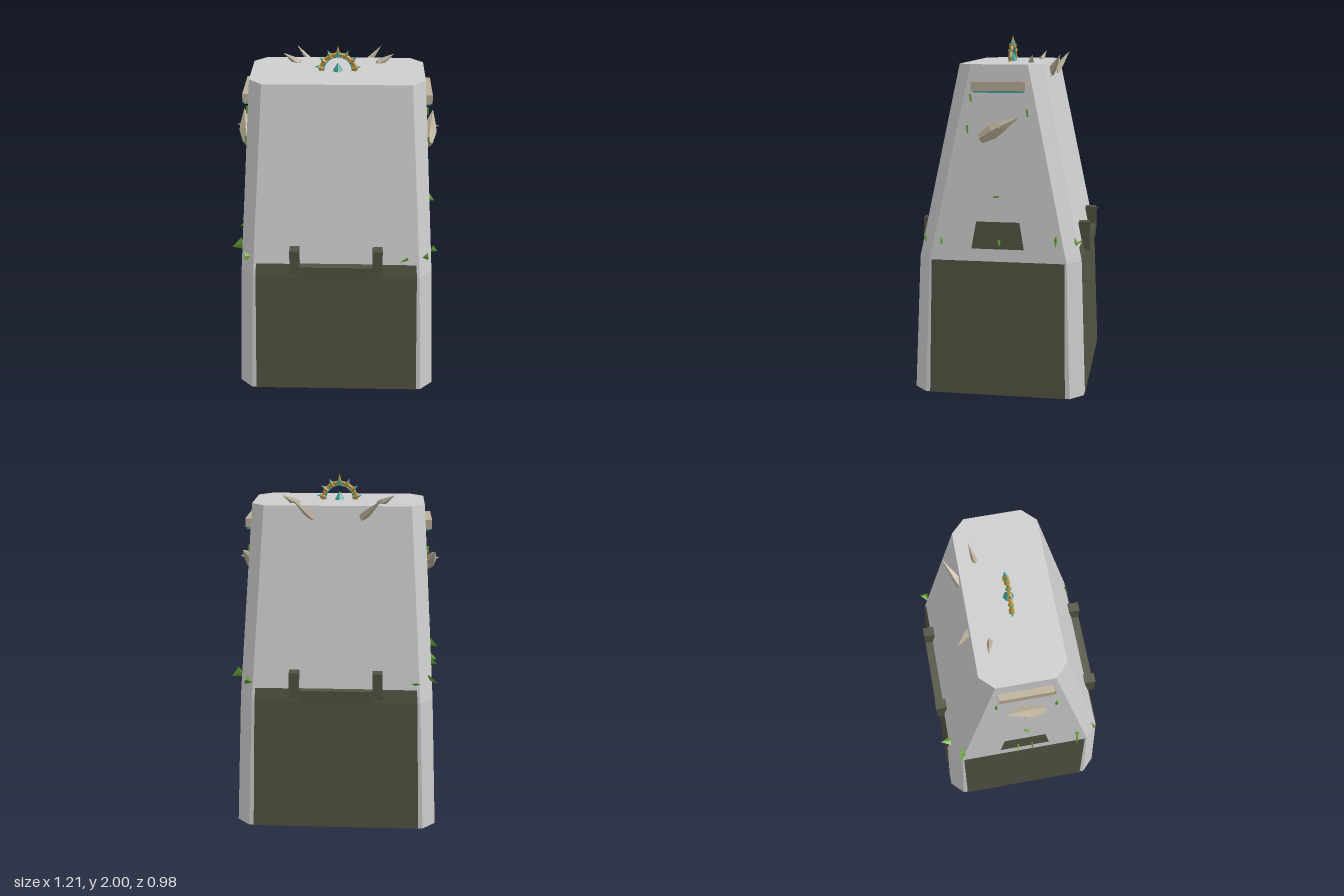
import * as THREE from 'three';

const mat = (name, color) => {
  const m = new THREE.MeshStandardMaterial({ color });
  m.name = name;
  return m;
};

// Body cross-sections: height, half width, half depth, chamfer
const SECTIONS = [[0, 0.583, 0.486, 0.074], [0.77, 0.551, 0.456, 0.072], [1.85, 0.488, 0.232, 0.074]];

// Half width and half depth of the body at height y
function halfSizes(y) {
  const i = y < 0.77 ? 0 : 1, a = SECTIONS[i], b = SECTIONS[i + 1];
  const t = (y - a[0]) / (b[0] - a[0]);
  return [a[1] + (b[1] - a[1]) * t, a[2] + (b[2] - a[2]) * t];
}

function facets(points) {
  const g = new THREE.BufferGeometry();
  g.setAttribute('position', new THREE.Float32BufferAttribute(points.flat(), 3));
  g.computeVertexNormals();
  return g;
}

function flat(g) {
  const f = g.index ? g.toNonIndexed() : g;
  f.computeVertexNormals();
  return f;
}

// Chamfered tower: octagons joined in loops and capped
function towerGeometry() {
  const rings = SECTIONS.map(([y, x, z, c]) => [
    [c - x, y, z], [x - c, y, z], [x, y, z - c], [x, y, c - z],
    [x - c, y, -z], [c - x, y, -z], [-x, y, c - z], [-x, y, z - c]]);
  const p = [];
  for (let i = 0; i < 8; i++) {
    const j = (i + 1) % 8;
    for (let k = 0; k < 2; k++) {
      const a = rings[k], b = rings[k + 1];
      p.push(a[i], a[j], b[j], a[i], b[j], b[i]);
    }
    p.push([0, 1.85, 0], rings[2][i], rings[2][j], [0, 0, 0], rings[0][j], rings[0][i]);
  }
  return facets(p);
}

// Thin plate lying on a wall; rows are [height, half width]
function plateGeometry(rows, axis) {
  const p = [];
  const point = ([y, w], s) => [s * w, y, halfSizes(y)[axis] + 0.004];
  for (let i = 0; i + 1 < rows.length; i++) {
    const a = rows[i], b = rows[i + 1];
    p.push(point(a, -1), point(a, 1), point(b, 1), point(a, -1), point(b, 1), point(b, -1));
  }
  return facets(p);
}

export function createModel() {
  const grey = mat('pale stone', 0xcdcdcd), olive = mat('dark olive', 0x525242);
  const bone = mat('bone', 0xb9ae97), green = mat('leaf green', 0x5f9c2f);
  const teal = mat('teal', 0x3fa39c), gold = mat('gold', 0xb8913a);
  const model = new THREE.Group();
  model.name = 'tower';

  const add = (name, geometry, material, x = 0, y = 0, z = 0, parent = model) => {
    const m = new THREE.Mesh(geometry, material);
    m.name = name;
    m.position.set(x, y, z);
    parent.add(m);
    return m;
  };
  const box = (name, material, size, pos) => add(name, new THREE.BoxGeometry(...size), material, ...pos);

  // Low-poly spike from base to tip; profile is [radius, fraction of length]
  const spike = (name, material, base, tip, profile, sides = 4, squash = 1) => {
    const a = new THREE.Vector3(...base), d = new THREE.Vector3(...tip).sub(a);
    const length = d.length();
    const pts = profile.map(([r, t]) => new THREE.Vector2(r, t * length));
    const m = add(name, flat(new THREE.LatheGeometry(pts, sides)), material, ...base);
    m.scale.z = squash;
    m.quaternion.setFromUnitVectors(new THREE.Vector3(0, 1, 0), d.normalize());
    return m;
  };

  add('towerBody', towerGeometry(), grey);

  // Dark lower cladding and side hatches
  for (const turn of [0, Math.PI]) {
    add('broadPanel', plateGeometry([[0, 0.483], [0.77, 0.463], [0.843, 0.459]], 1), olive).rotation.y = turn;
    const side = turn + Math.PI / 2;
    add('sidePanel', plateGeometry([[0, 0.386], [0.768, 0.373]], 0), olive).rotation.y = side;
    add('sideHatch', plateGeometry([[0.838, 0.147], [0.99, 0.121]], 0), olive).rotation.y = side;
  }

  // Brackets on the front and back
  for (const s of [-1, 1]) {
    box('bracketBar', olive, [0.42, 0.073, 0.047], [0, 0.807, s * 0.463]);
    for (const x of [-0.236, 0.236])
      box('bracketPost', olive, [0.056, 0.152, 0.064], [x, 0.872, s * 0.455]);
  }

  // Side beams with a teal strip, and horns
  const horn = [[0, 0], [0.024, 0.15], [0.02, 0.4], [0, 1]];
  for (const s of [-1, 1]) {
    box('sideBeam', bone, [0.04, 0.051, 0.296], [s * 0.511, 1.735, 0]);
    box('beamStrip', teal, [0.032, 0.01, 0.28], [s * 0.507, 1.704, 0]);
    spike('sideHorn', bone, [s * 0.515, 1.445, 0.1], [s * 0.555, 1.572, -0.12],
      [[0, 0], [0.03, 0.02], [0.043, 0.35], [0.032, 0.57], [0, 1]], 5);
    spike('sideThorn', bone, [s * 0.505, 1.505, -0.01], [s * 0.588, 1.515, -0.012], [[0.032, 0], [0.012, 0.5], [0, 1]]);
    spike('largeHorn', bone, [s * 0.12, 1.765, -0.225], [s * 0.25, 1.9, -0.31], horn);
    spike('smallHorn', bone, [s * 0.215, 1.835, -0.135], [s * 0.32, 1.9, -0.16], horn, 4, 0.7);
    spike('hornStub', bone, [s * 0.215, 1.765, -0.23], [s * 0.23, 1.775, -0.255], [[0.012, 0], [0, 1]]);

    // Small leaf scraps on the side walls
    for (const [y, z] of [[1.67, 0.155], [1.5, 0.172], [1.59, -0.158], [1.13, 0.01]]) {
      const x = s * (halfSizes(y)[0] + 0.004);
      const h = y < 1.2 ? 0.008 : 0.042;
      box('leafScrap', green, [0.018, h, y < 1.2 ? 0.03 : 0.008], [x, y, z]).rotation.x = 0.15;
    }
  }

  // Leaves sprouting around the shoulder: base, tip, half width
  const leaves = [
    [[-0.45, 0.865, -0.41], [-0.455, 0.9, -0.492], 0.036],
    [[-0.525, 0.89, -0.36], [-0.58, 0.87, -0.4], 0.036],
    [[-0.545, 0.885, -0.04], [-0.593, 0.87, -0.052], 0.022],
    [[-0.545, 0.885, 0.04], [-0.59, 0.87, 0.044], 0.026],
    [[-0.54, 0.905, 0.32], [-0.608, 0.87, 0.303], 0.037],
    [[-0.525, 0.88, 0.43], [-0.488, 0.88, 0.416], 0.026],
    [[0.51, 0.885, -0.43], [0.475, 0.87, -0.425], 0.028],
    [[0.5, 0.87, -0.43], [0.505, 0.9, -0.47], 0.026],
    [[0.55, 0.9, -0.325], [0.607, 0.87, -0.328], 0.034],
    [[0.55, 0.88, 0.315], [0.585, 0.865, 0.315], 0.024],
    [[0.525, 0.885, 0.415], [0.492, 0.88, 0.422], 0.028],
    [[0.546, 0.89, -0.012], [0.556, 0.855, -0.008], 0.018],
    [[0.41, 0.88, 0.437], [0.362, 0.86, 0.447], 0.014],
  ];
  for (const [base, tip, width] of leaves)
    spike('leaf', green, base, tip, [[0, 0], [width, 0.02], [0, 1]], 4, 0.3);

  // Roof crest: half ring, rays and a central crystal
  const cy = 1.85;
  add('crestRing', flat(new THREE.TorusGeometry(0.096, 0.011, 5, 14, Math.PI)), gold, 0, cy, 0);
  add('crestInnerRing', flat(new THREE.TorusGeometry(0.083, 0.006, 4, 14, Math.PI)), teal, 0, cy, 0);
  for (let i = 0; i < 7; i++) {
    const a = Math.PI * (0.06 + 0.88 * i / 6), end = i === 3 ? 0.15 : 0.134;
    const at = (r) => [r * Math.cos(a), cy + r * Math.sin(a), 0];
    spike('crestRay', i === 3 ? gold : teal, at(0.098), at(end), [[0.013, 0], [0, 1]]);
    spike('crestClasp', i === 3 ? teal : gold, at(0.08), at(0.112), [[0, 0], [0.015, 0.1], [0.015, 0.9], [0, 1]]);
  }
  add('crestCrystal', flat(new THREE.ConeGeometry(0.032, 0.05, 6)), teal, 0, cy + 0.023, 0);

  return model;
}
